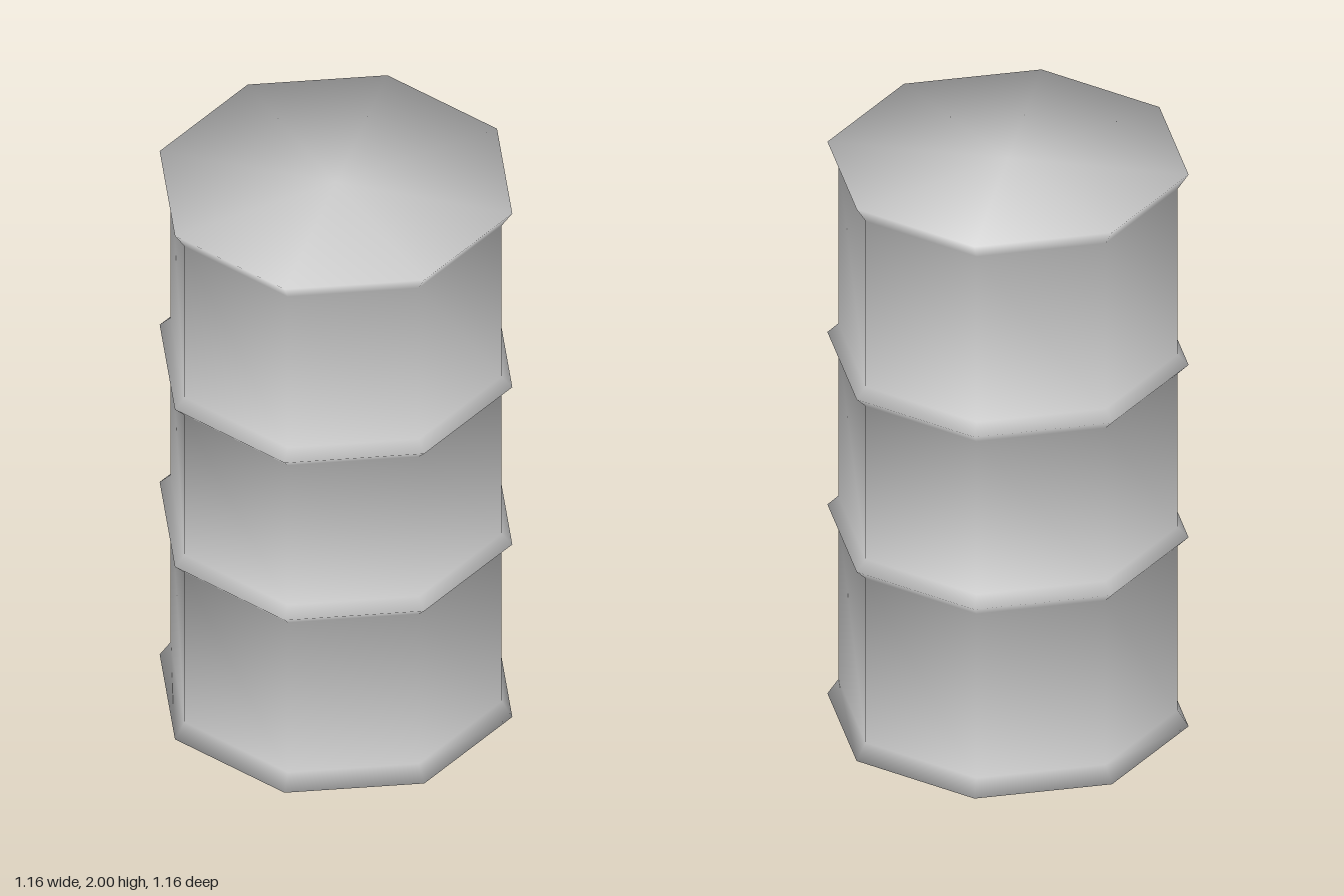
import * as THREE from 'three';

const SIDES = 8;
const BODY = 0.545; // corner radius of the wall
const RIM = 0.58;   // corner radius of rims and hoops

// Smooth normals, each averaged from the two unit slopes that meet at a profile point
function smoothProfile(geometry, profile) {
  const slopes = [];
  for (let i = 0; i < profile.length - 1; i++) {
    const d = profile[i + 1].clone().sub(profile[i]);
    slopes.push(new THREE.Vector2(d.y, -d.x).normalize());
  }
  const last = profile.length - 1;
  const normal = geometry.attributes.normal;
  for (let s = 0; s <= SIDES; s++) {
    const a = (s / SIDES) * Math.PI * 2;
    for (let j = 0; j <= last; j++) {
      const n = slopes[Math.max(j - 1, 0)].clone().add(slopes[Math.min(j, last - 1)]).normalize();
      normal.setXYZ(s * profile.length + j, n.x * Math.sin(a), n.y, n.x * Math.cos(a));
    }
  }
  return geometry;
}

export function createModel() {
  const group = new THREE.Group();
  group.name = 'barrel';
  const grey = new THREE.MeshStandardMaterial({ color: 0xcccccc });
  grey.name = 'light grey';

  // Closed profile: base, flared foot, two hoops, flared top rim, lid
  const points = [[0, 0], [RIM, 0], [BODY, 0.055]];
  for (const y of [0.685, 1.31]) {
    points.push([BODY, y - 0.035], [RIM, y], [BODY, y + 0.035]);
  }
  points.push([BODY, 1.945], [RIM, 2], [0, 2]);
  const profile = points.map(([r, y]) => new THREE.Vector2(r, y));

  const geometry = smoothProfile(new THREE.LatheGeometry(profile, SIDES), profile);
  const drum = new THREE.Mesh(geometry, grey);
  drum.name = 'drum';
  group.add(drum);
  return group;
}
